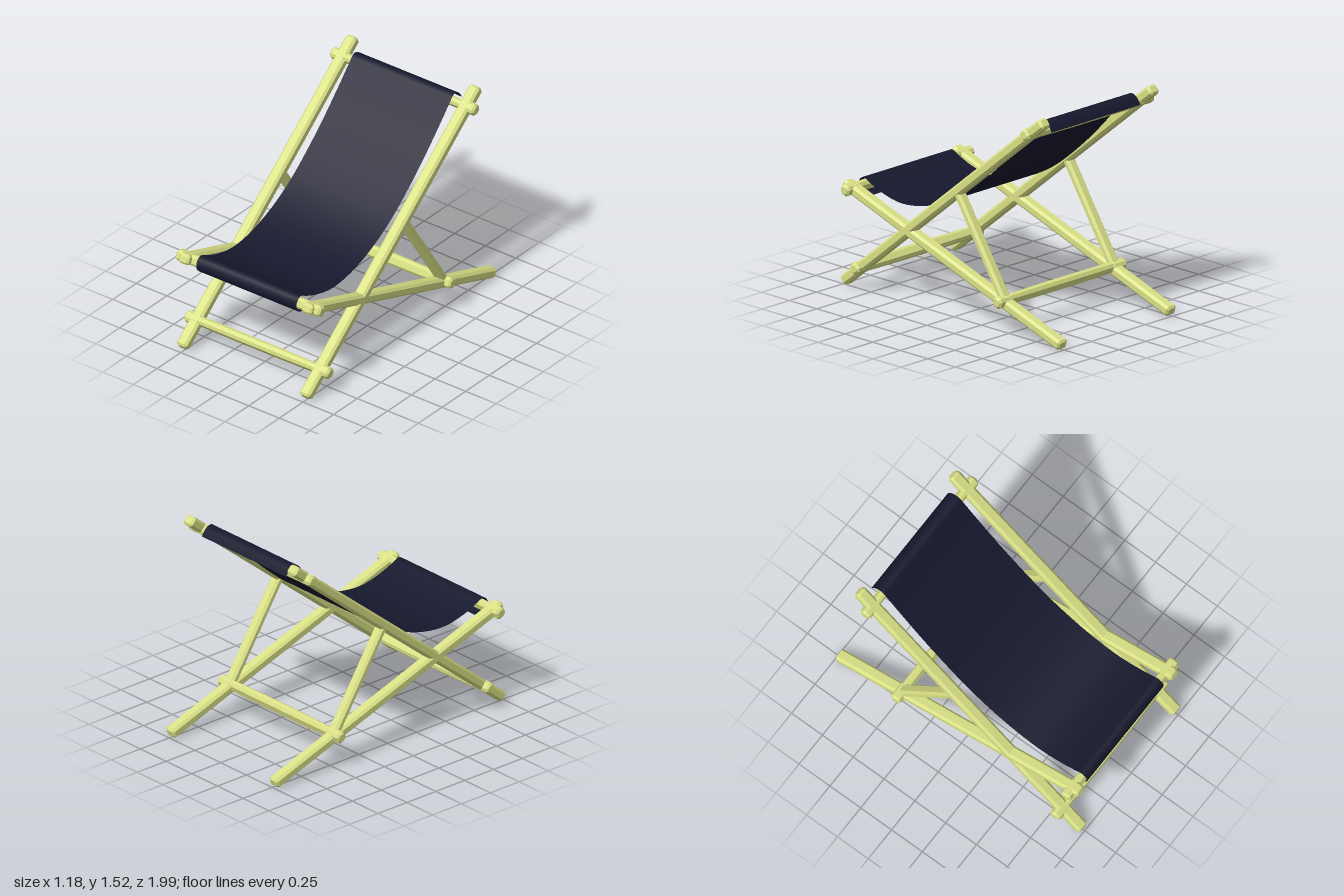
import * as THREE from 'three';

const wood = new THREE.MeshStandardMaterial({ color: 0xd9e085, flatShading: true });
const cloth = new THREE.MeshStandardMaterial({ color: 0x16182e, side: THREE.DoubleSide });

// Timber along z: chamfered rectangular section with chamfered ends
function timberGeometry(width, height, length, chamfer, steps = 1) {
  const w = width / 2, h = height / 2, c = chamfer;
  const section = new THREE.Shape([
    [w - c, -h], [w, -h + c], [w, h - c], [w - c, h],
    [-w + c, h], [-w, h - c], [-w, -h + c], [-w + c, -h],
  ].map(([x, y]) => new THREE.Vector2(x, y)));
  const bevel = 0.014;
  const geometry = new THREE.ExtrudeGeometry(section, {
    depth: length - 2 * bevel, steps,
    bevelThickness: bevel, bevelSize: bevel, bevelOffset: -bevel, bevelSegments: 1,
  });
  return geometry.translate(0, 0, bevel - length / 2);
}

// Timber in a side plane, between two [z, y] points
function beam(name, x, [z0, y0], [z1, y1], width, height) {
  const length = Math.hypot(z1 - z0, y1 - y0);
  const mesh = new THREE.Mesh(timberGeometry(width, height, length, 0.016), wood);
  mesh.name = name;
  mesh.position.set(x, (y0 + y1) / 2, (z0 + z1) / 2);
  mesh.rotation.x = Math.atan2(y0 - y1, z1 - z0);
  return mesh;
}

// Crossbar along x, slightly thicker in the middle, with a block on each end
function crossbar(name, [z, y], tilt) {
  const group = new THREE.Group();
  group.name = name;
  const geometry = timberGeometry(0.054, 0.07, 1.1, 0.016, 10);
  const p = geometry.attributes.position;
  for (let i = 0; i < p.count; i++) {
    const s = 1 + 0.16 * (1 - (p.getZ(i) / 0.55) ** 2);
    p.setXY(i, p.getX(i) * s, p.getY(i) * s);
  }
  const bar = new THREE.Mesh(geometry.rotateY(Math.PI / 2), wood);
  bar.name = 'bar';
  group.add(bar);
  for (const side of [-1, 1]) {
    const block = new THREE.Mesh(timberGeometry(0.074, 0.074, 0.13, 0.018).rotateY(Math.PI / 2), wood);
    block.name = 'endBlock';
    block.position.x = side * 0.525;
    group.add(block);
  }
  group.position.set(0, y, z);
  group.rotation.x = tilt;
  return group;
}

// Sagging cloth sheet, hooked over the top and front bars; profile as [z, y]
function sling() {
  const profile = [
    [0.87, 0.61], [0.935, 0.632], [0.952, 0.69], [0.915, 0.735], [0.84, 0.705],
    [0.75, 0.67], [0.6, 0.636], [0.45, 0.642], [0.25, 0.695], [0, 0.82],
    [-0.3, 1.06], [-0.55, 1.31], [-0.66, 1.43], [-0.715, 1.484], [-0.765, 1.467], [-0.798, 1.42],
  ];
  const curve = new THREE.CatmullRomCurve3(profile.map(([z, y]) => new THREE.Vector3(0, y, z)));
  const rows = 80;
  const points = curve.getSpacedPoints(rows);
  const geometry = new THREE.PlaneGeometry(0.82, 1, 6, rows);
  const p = geometry.attributes.position;
  for (let i = 0; i < p.count; i++) {
    const q = points[rows - Math.floor(i / 7)];
    p.setXYZ(i, p.getX(i), q.y, q.z);
  }
  geometry.computeVertexNormals();
  const mesh = new THREE.Mesh(geometry, cloth);
  mesh.name = 'sling';
  return mesh;
}

export function createModel() {
  const model = new THREE.Group();
  model.name = 'deckChair';

  // Two mirrored side frames
  for (const [label, x] of [['left', 0.503], ['right', -0.503]]) {
    model.add(
      beam(label + 'BackRail', x, [0.98, 0.04], [-0.83, 1.515], 0.084, 0.07),
      beam(label + 'SeatRail', x, [0.97, 0.704], [-0.99, 0.038], 0.084, 0.07),
      beam(label + 'Strut', x, [-0.05, 0.875], [-0.485, 0.21], 0.078, 0.056),
    );
  }

  // Crossbars follow the slope of the timbers they join
  const backTilt = Math.atan2(1.475, 1.81), seatTilt = -Math.atan2(0.666, 1.96);
  model.add(
    crossbar('topBar', [-0.72, 1.422], backTilt),
    crossbar('footBar', [0.82, 0.17], backTilt),
    crossbar('frontBar', [0.908, 0.682], seatTilt),
    crossbar('propBar', [-0.472, 0.228], seatTilt),
    sling(),
  );
  return model;
}
